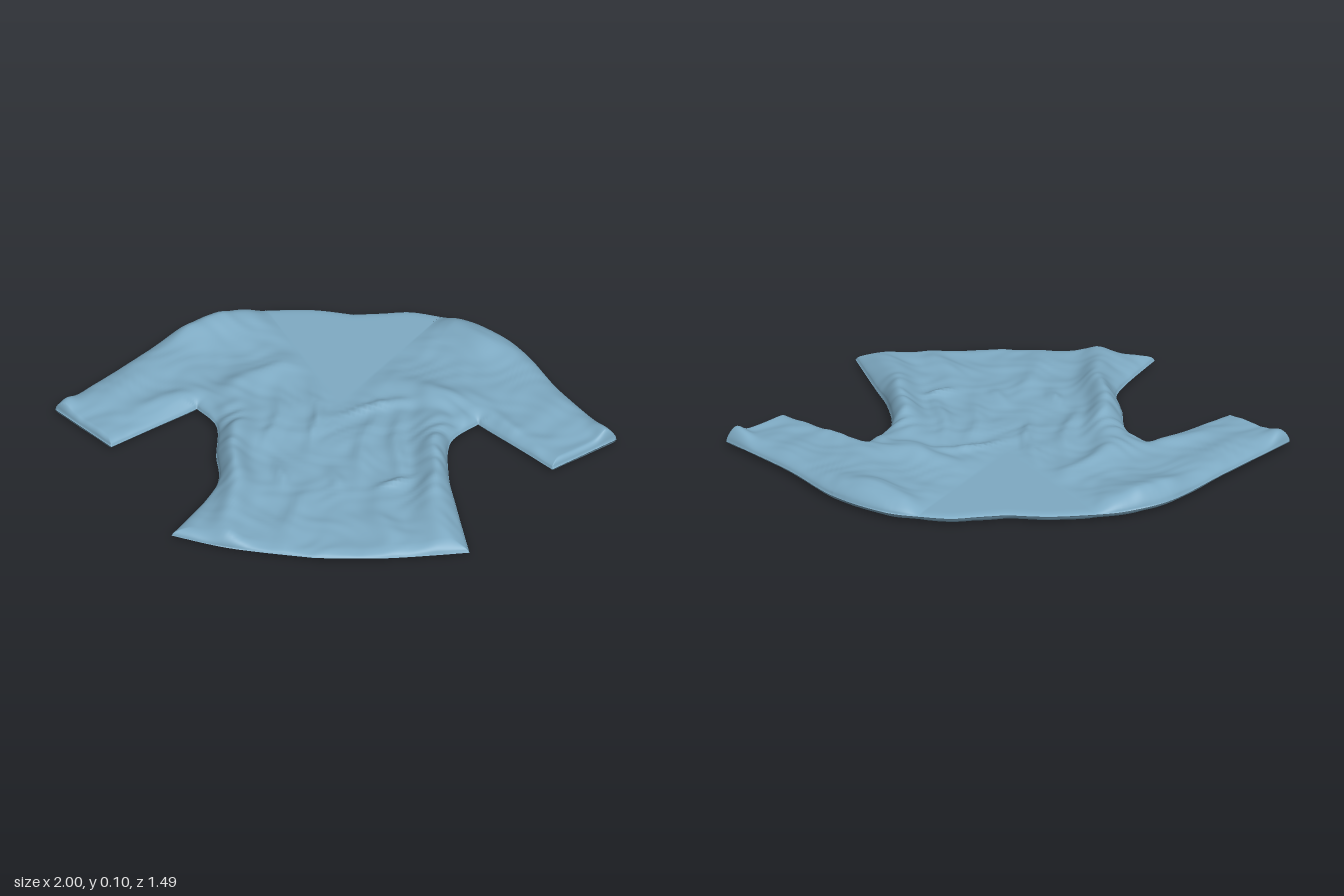
import * as THREE from 'three';

const V2 = (p) => new THREE.Vector2(p[0], p[1]);
const spline = (pts) => new THREE.SplineCurve(pts.map(V2));
const mix = (a, b, t) => a.clone().lerp(b, t);
const smooth = (t) => THREE.MathUtils.smoothstep(t, 0, 1);
const V_TIP = V2([0, -0.18]);

// Outline of each half, seen from above as x, z
const HALVES = [
  {
    side: 'left',
    collar: spline([[0, -0.712], [0.1, -0.728], [0.2, -0.745], [0.31, -0.727]]),
    shoulder: spline([[0.31, -0.727], [0.44, -0.685], [0.62, -0.54], [0.78, -0.31], [0.997, -0.06]]),
    underarm: spline([[0.5, -0.1], [0.64, 0.015], [0.785, 0.14]]),
    flank: spline([[0.5, -0.1], [0.415, 0.03], [0.425, 0.22], [0.47, 0.4], [0.54, 0.66]]),
    hem: spline([[0, 0.742], [0.25, 0.72], [0.54, 0.66]]),
  },
  {
    side: 'right',
    collar: spline([[0, -0.712], [-0.15, -0.726], [-0.31, -0.708]]),
    shoulder: spline([[-0.31, -0.708], [-0.43, -0.675], [-0.59, -0.57], [-0.77, -0.34], [-1, -0.055]]),
    underarm: spline([[-0.5, -0.1], [-0.62, 0.005], [-0.78, 0.15]]),
    flank: spline([[-0.5, -0.1], [-0.42, 0.01], [-0.405, 0.18], [-0.39, 0.36], [-0.52, 0.655]]),
    hem: spline([[0, 0.742], [-0.3, 0.713], [-0.52, 0.655]]),
  },
];

// Folds: x1, z1, x2, z2, width, height
const FOLDS = [
  [-0.35, -0.12, -0.31, 0.66, 0.055, 0.062], [0.34, -0.1, 0.42, 0.6, 0.06, 0.052],
  [-0.18, -0.4, -0.44, -0.14, 0.06, 0.024], [0.16, -0.3, 0.46, -0.18, 0.06, 0.026],
  [-0.09, -0.26, -0.07, 0.08, 0.022, 0.016], [0.02, -0.1, 0.26, -0.2, 0.025, 0.016],
  [-0.2, -0.2, -0.24, 0.2, 0.03, 0.018], [0.13, -0.1, 0.1, 0.3, 0.03, 0.014],
  [0.22, -0.1, 0.25, 0.3, 0.03, 0.02], [0.0, 0.25, 0.04, 0.36, 0.03, 0.013],
  [-0.18, 0.2, -0.16, 0.34, 0.025, 0.018], [0.18, 0.32, 0.28, 0.28, 0.025, 0.02],
  [-0.06, 0.3, -0.11, 0.72, 0.04, 0.014], [0.18, 0.3, 0.26, 0.72, 0.045, 0.02],
].map(([x1, z1, x2, z2, w, h]) => ({ a: V2([x1, z1]), b: V2([x2, z2]), w, h }));

// Fullness of shoulders, sleeves and cuffs on both sides
for (const s of [-1, 1]) {
  for (const [x1, z1, x2, z2, w, h] of [
    [0.34, -0.66, 0.62, -0.46, 0.075, 0.036], [0.58, -0.42, 0.86, -0.06, 0.08, 0.01],
    [0.93, -0.1, 0.99, -0.03, 0.045, 0.036], [0.5, -0.16, 0.7, -0.02, 0.035, 0.014],
  ]) FOLDS.push({ a: V2([s * x1, z1]), b: V2([s * x2, z2]), w, h });
}

// Position along the line a-b, and distance from it
function along(x, z, a, b) {
  const dx = b.x - a.x, dz = b.y - a.y;
  return ((x - a.x) * dx + (z - a.y) * dz) / (dx * dx + dz * dz);
}
function segmentDistance(x, z, a, b) {
  const t = THREE.MathUtils.clamp(along(x, z, a, b), 0, 1);
  return Math.hypot(x - a.x - t * (b.x - a.x), z - a.y - t * (b.y - a.y));
}

// A ridge that fades towards both ends
function ridge(x, z, f) {
  const t = along(x, z, f.a, f.b);
  const across = Math.hypot(x - f.a.x - t * (f.b.x - f.a.x), z - f.a.y - t * (f.b.y - f.a.y));
  return f.h * Math.exp(-((across / f.w) ** 2) - (2 * t - 1) ** 2);
}

// Rim segments; hem and cuffs close more sharply than the side seams
const rim = [];
function addRim(points, weight) {
  for (let i = 1; i < points.length; i++) rim.push({ a: points[i - 1], b: points[i], weight });
}
for (const h of HALVES) {
  addRim(h.collar.getPoints(16), 1.3);
  addRim(h.shoulder.getPoints(32), 1);
  addRim(h.underarm.getPoints(12), 1.3);
  addRim(h.flank.getPoints(24), 1);
  addRim(h.hem.getPoints(16), 1.3);
  addRim([h.shoulder.getPoint(1), h.underarm.getPoint(1)], 3);
}
function roundOff(x, z, radius) {
  let d = 1;
  for (const r of rim) d = Math.min(d, r.weight * segmentDistance(x, z, r.a, r.b));
  const t = 1 - THREE.MathUtils.clamp((d - 0.002) / radius, 0, 1);
  return Math.sqrt(1 - t * t);
}

// Bunched cloth from armpit to waist
const bunched = (x, z) => Math.exp(-(((Math.abs(x) - 0.42) / 0.08) ** 2) - ((z - 0.08) / 0.22) ** 2);

// Small crumples, strongest where the cloth is bunched
function crumple(x, z) {
  const soft = Math.sin(13 * x + 5 * Math.sin(6 * z)) * Math.sin(9 * z + 3 * Math.sin(8 * x));
  const fine = Math.sin(38 * x + 3 * Math.sin(17 * z)) * Math.sin(46 * z + 2 * Math.sin(21 * x));
  return 0.004 * soft + fine * (0.0015 + 0.009 * bunched(x, z));
}

// Height of the rim: low at the hem, higher at the neck and waist
const edge = (x, z) => 0.028 - 0.012 * z + 0.012 * bunched(x, z);

const panelHeight = (x, z) => edge(x, z) + 0.008 * roundOff(x, z, 0.05);

function frontHeight(x, z) {
  let y = 0.006 + 0.012 * smooth((Math.abs(x) - 0.12) / 0.35) + crumple(x, z);
  const wx = x + 0.012 * Math.sin(15 * z + 4 * x), wz = z + 0.015 * Math.sin(17 * x + 5 * z);
  for (const f of FOLDS) y += ridge(wx, wz, f);
  const vee = Math.min(...HALVES.map((h) => segmentDistance(x, z, V_TIP, h.collar.getPoint(1))));
  const lift = Math.sin((Math.min(vee / 0.09, 1) * Math.PI) / 2);
  return edge(x, z) + roundOff(x, z, 0.06) * (0.008 + y * lift);
}

function backHeight(x, z) {
  const radius = 0.045 + 0.05 * bunched(x, z);
  return edge(x, z) - roundOff(x, z, radius) * (edge(x, z) - 0.013 - 0.5 * crumple(x, z));
}

// Grid over a flat region point(u, v), raised by a height rule
function patch(name, point, height, facing, material, nu, nv) {
  const pos = [], nor = [], idx = [], e = 0.003;
  for (let i = 0; i <= nu; i++) for (let j = 0; j <= nv; j++) {
    const p = point(i / nu, j / nv);
    pos.push(p.x, height(p.x, p.y), p.y);
    const n = new THREE.Vector3(
      (height(p.x - e, p.y) - height(p.x + e, p.y)) / (2 * e), 1,
      (height(p.x, p.y - e) - height(p.x, p.y + e)) / (2 * e)).normalize().multiplyScalar(facing);
    nor.push(n.x, n.y, n.z);
  }
  const o = point(0.5, 0.5), du = point(0.51, 0.5).sub(o), dv = point(0.5, 0.51).sub(o);
  const up = du.y * dv.x - du.x * dv.y > 0;
  for (let i = 0; i < nu; i++) for (let j = 0; j < nv; j++) {
    const a = i * (nv + 1) + j, b = a + nv + 1, c = a + 1, d = b + 1;
    if (up === facing > 0) idx.push(a, b, d, a, d, c);
    else idx.push(a, d, b, a, c, d);
  }
  const g = new THREE.BufferGeometry();
  g.setAttribute('position', new THREE.Float32BufferAttribute(pos, 3));
  g.setAttribute('normal', new THREE.Float32BufferAttribute(nor, 3));
  g.setIndex(idx);
  const mesh = new THREE.Mesh(g, material);
  mesh.name = name;
  return mesh;
}

export function createModel() {
  const group = new THREE.Group();
  group.name = 'blouse';
  const cloth = new THREE.MeshStandardMaterial({ color: 0x7fabc4 });

  // Spacing that gathers rows towards one or both rims
  const one = (t) => Math.sin((t * Math.PI) / 2);
  const both = (t) => (1 - Math.cos(t * Math.PI)) / 2;

  for (const h of HALVES) {
    const armpit = h.flank.getPoint(0);
    const regions = {
      NeckPanel: (u, v) => mix(h.collar.getPoint(u), V_TIP, both(v)),
      Bodice: (u, v) => mix(h.shoulder.getPoint(one(u) / 2), mix(V_TIP, armpit, one(u)), both(v)),
      Sleeve: (u, v) => mix(h.shoulder.getPoint(0.5 + one(u) / 2), h.underarm.getPoint(one(u)), both(v)),
      // Body rows bend from the bust line to the hem and end on the flank
      Body: (u, v) => {
        const s = one(u), t = one(v);
        const rows = mix(mix(V_TIP, armpit, s), h.hem.getPoint(s), t);
        const bend = h.flank.getPoint(t).sub(mix(armpit, h.hem.getPoint(1), t));
        return rows.add(bend.multiplyScalar(s));
      },
    };
    for (const [part, point] of Object.entries(regions)) {
      const front = part === 'NeckPanel' ? panelHeight : frontHeight;
      const nu = part === 'NeckPanel' ? 16 : 44;
      const nv = part === 'Body' ? 64 : 44;
      group.add(patch(h.side + part + 'Front', point, front, 1, cloth, nu, nv));
      group.add(patch(h.side + part + 'Back', point, backHeight, -1, cloth, nu, nv));
    }
  }
  return group;
}
